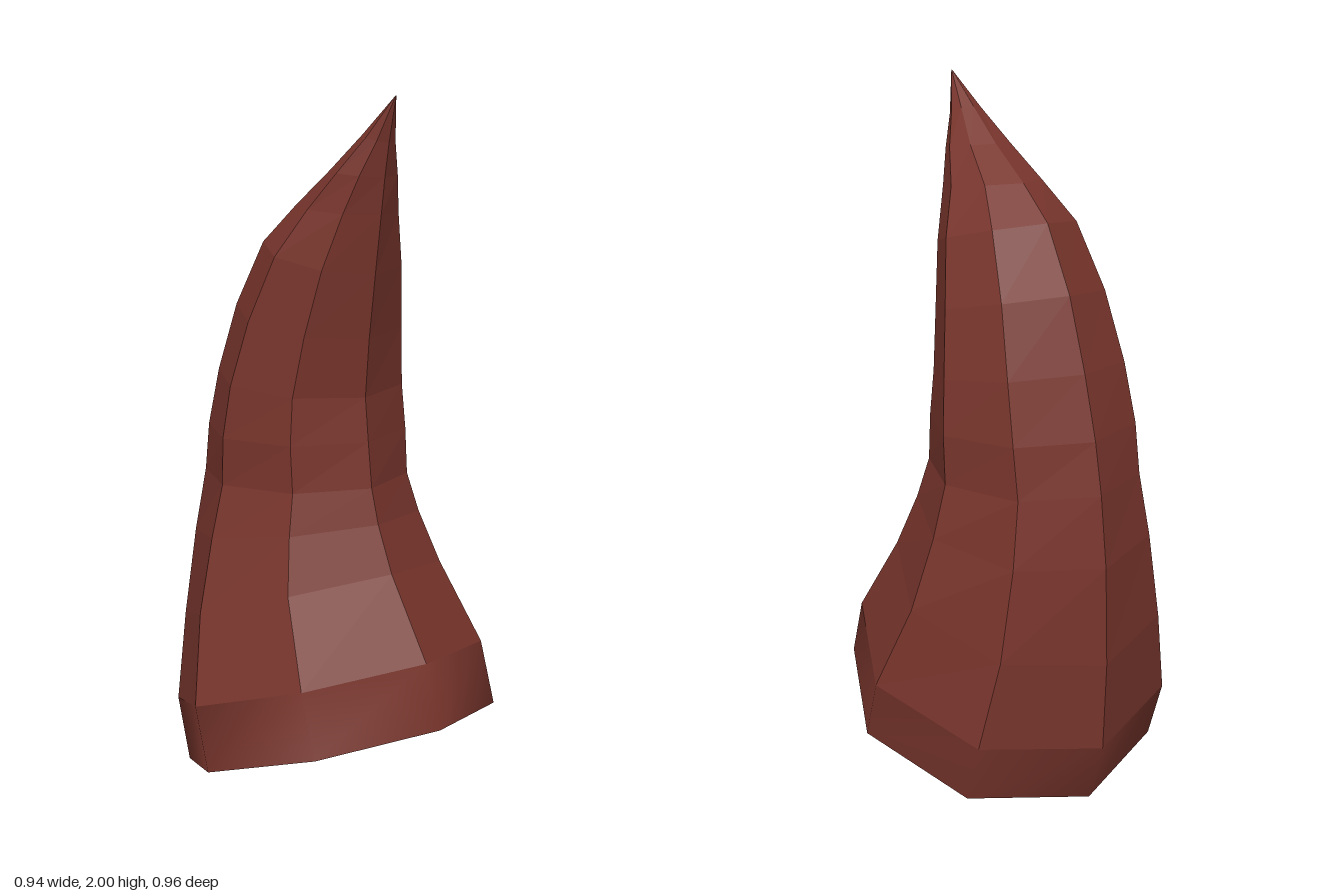
import * as THREE from 'three';

const SIDES = 8;
const WALL = 0.075;

// Each ring is a tilted octagon: [frontZ, frontY, backZ, backY, halfWidth]
const RIM = [0.48, 0.305, -0.41, 0, 0.47];
const COLLAR_TOP = [0.42, 0.48, -0.467, 0.18, 0.47];
const SHAFT = [
  COLLAR_TOP,
  [0.27, 0.70, -0.477, 0.44, 0.396],
  [0.21, 0.83, -0.465, 0.72, 0.336],
  [0.18, 0.93, -0.439, 0.92, 0.296],
  [0.164, 1.06, -0.41, 1.065, 0.296],
  [0.15, 1.185, -0.36, 1.24, 0.28],
  [0.165, 1.35, -0.29, 1.44, 0.246],
  [0.19, 1.53, -0.19, 1.62, 0.2],
  [0.213, 1.69, -0.08, 1.715, 0.138],
  [0.227, 1.79, 0.05, 1.81, 0.095],
  [0.243, 1.88, 0.16, 1.905, 0.046],
  [0.27, 2.0, 0.268, 2.0, 0.001],
];

// Shrinks a ring about its centre by the wall thickness
function inset([fz, fy, bz, by, width]) {
  const s = Math.max(0, 1 - WALL / width);
  const cz = (fz + bz) / 2, cy = (fy + by) / 2;
  return [cz + (fz - cz) * s, cy + (fy - cy) * s, cz + (bz - cz) * s, cy + (by - cy) * s, width * s];
}

// Skins a stack of rings, either faceted or with smooth normals
function loft(rings, faceted) {
  const positions = [], index = [];
  for (const [fz, fy, bz, by, width] of rings) {
    for (let j = 0; j < SIDES; j++) {
      const a = (j / SIDES) * Math.PI * 2, c = Math.cos(a);
      positions.push(width * Math.sin(a), (fy + by) / 2 + c * (fy - by) / 2, (fz + bz) / 2 + c * (fz - bz) / 2);
    }
  }
  for (let i = 0; i < rings.length - 1; i++) {
    for (let j = 0; j < SIDES; j++) {
      const k = (j + 1) % SIDES;
      const a = i * SIDES + j, b = i * SIDES + k, c = a + SIDES, d = b + SIDES;
      index.push(a, b, d, a, d, c);
    }
  }
  let geometry = new THREE.BufferGeometry();
  geometry.setAttribute('position', new THREE.Float32BufferAttribute(positions, 3));
  geometry.setIndex(index);
  if (faceted) geometry = geometry.toNonIndexed();
  geometry.computeVertexNormals();
  return geometry;
}

export function createModel() {
  const group = new THREE.Group();
  group.name = 'horn';
  const hornBrown = new THREE.MeshStandardMaterial({ color: 0x78352c });
  hornBrown.name = 'hornBrown';

  const add = (name, rings, faceted) => {
    const mesh = new THREE.Mesh(loft(rings, faceted), hornBrown);
    mesh.name = name;
    group.add(mesh);
  };

  // Curved, tapering shaft and the smooth band around its foot
  add('shaft', SHAFT, true);
  add('collar', [RIM, COLLAR_TOP], false);
  // Flat lip facing down
  add('rim', [inset(RIM), RIM], true);
  // Hollow inside, listed from the top down so it faces inward
  add('innerCollar', [inset(COLLAR_TOP), inset(RIM)], false);
  add('innerShaft', SHAFT.slice(0, -1).map(inset).reverse(), true);

  return group;
}
